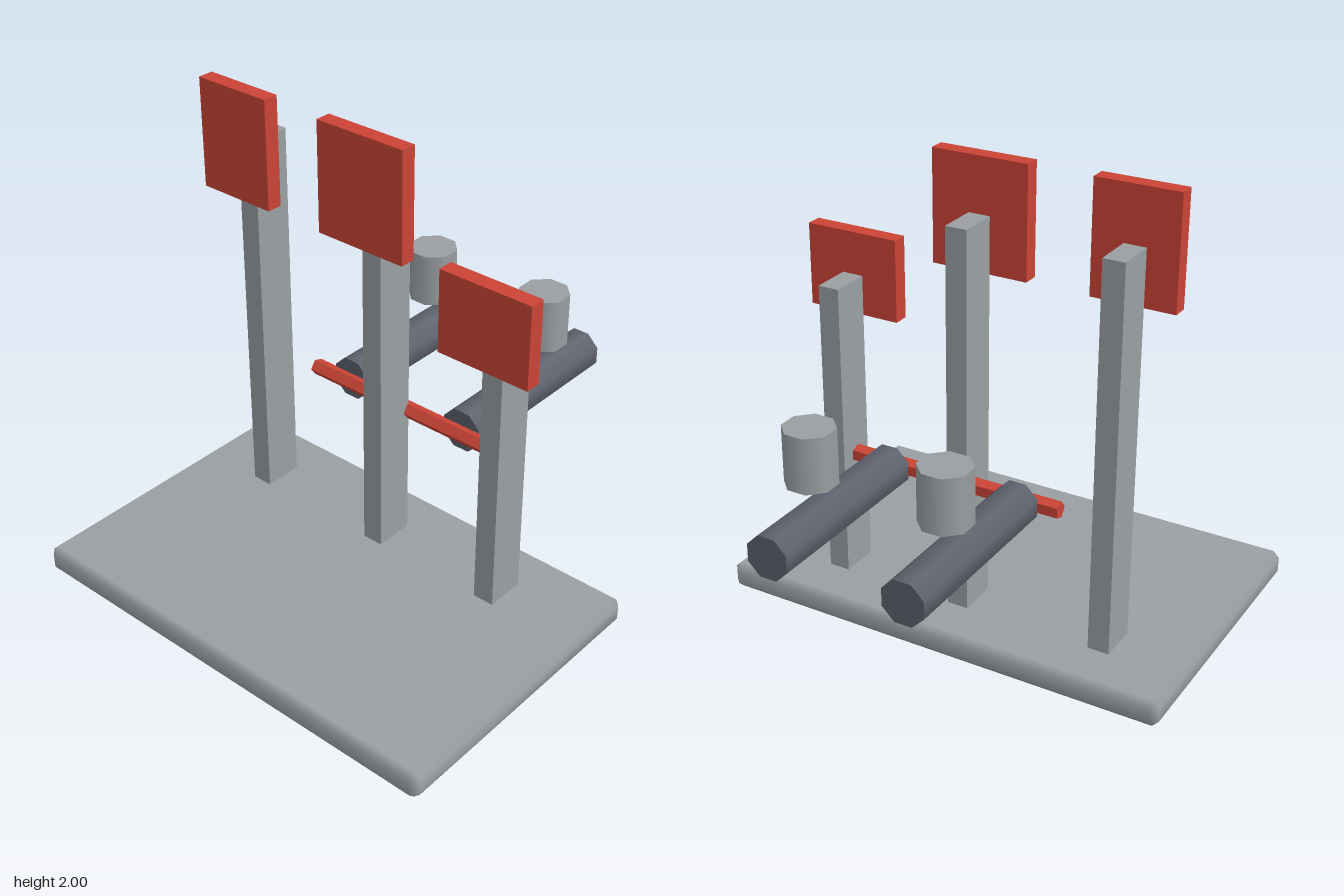
import * as THREE from 'three';
import { mergeVertices } from 'three/addons/utils/BufferGeometryUtils.js';
import { ConvexGeometry } from 'three/addons/geometries/ConvexGeometry.js';

const material = (name, color) => {
  const m = new THREE.MeshStandardMaterial({ color });
  m.name = name;
  return m;
};

// Box with chamfered edges and normals shared across the whole surface
function softBox(w, h, d, c) {
  const [x, y, z] = [w / 2, h / 2, d / 2];
  const points = [];
  for (const sx of [-1, 1]) for (const sy of [-1, 1]) for (const sz of [-1, 1]) {
    points.push(
      new THREE.Vector3(sx * x, sy * (y - c), sz * (z - c)),
      new THREE.Vector3(sx * (x - c), sy * y, sz * (z - c)),
      new THREE.Vector3(sx * (x - c), sy * (y - c), sz * z));
  }
  const geo = new ConvexGeometry(points);
  geo.deleteAttribute('normal');
  const merged = mergeVertices(geo, 1e-4);
  merged.computeVertexNormals();
  return merged;
}

// Octagonal cylinder with flats facing the main axes
function octagon(apothem, length) {
  const geo = new THREE.CylinderGeometry(1, 1, length, 8);
  const r = apothem / Math.cos(Math.PI / 8);
  return geo.rotateY(Math.PI / 8).scale(r, 1, r);
}

export function createModel() {
  const group = new THREE.Group();
  const grey = material('grey metal', 0x9a9fa2);
  const red = material('red paint', 0xcb4436);
  const dark = material('dark slate', 0x5d606c);

  const add = (name, geo, mat, x, y, z) => {
    const mesh = new THREE.Mesh(geo, mat);
    mesh.name = name;
    mesh.position.set(x, y, z);
    group.add(mesh);
    return mesh;
  };

  // Base plate
  add('base', softBox(2, 0.12, 1.3, 0.027), grey, 0, 0.06, 0.323);

  // Three posts, each with a square panel on its front
  const signs = [
    { side: 'right', x: -0.65, top: 1.77, panelX: -0.65, w: 0.35, y0: 1.535, y1: 2 },
    { side: 'middle', x: -0.003, top: 1.77, panelX: -0.003, w: 0.412, y0: 1.535, y1: 2 },
    { side: 'left', x: 0.585, top: 1.41, panelX: 0.585, w: 0.412, y0: 1.24, y1: 1.59 },
  ];
  for (const s of signs) {
    const bottom = 0.004;
    add(s.side + 'Post', new THREE.BoxGeometry(0.092, s.top - bottom, 0.172), grey,
      s.x, (s.top + bottom) / 2, -0.033);
    add(s.side + 'Panel', new THREE.BoxGeometry(s.w, s.y1 - s.y0, 0.067), red,
      s.panelX, (s.y0 + s.y1) / 2, 0.0865);
  }

  // Five-sided cross bar, with one edge pointing forward
  const barGeo = new THREE.CylinderGeometry(0.036, 0.036, 0.94, 5).rotateZ(Math.PI / 2).toNonIndexed();
  barGeo.computeVertexNormals();
  add('crossBar', barGeo, red, 0, 0.71, -0.125);

  // Long horizontal barrels and the canisters floating above them
  for (const [side, x] of [['right', -0.295], ['left', 0.292]]) {
    add(side + 'Barrel', octagon(0.088, 0.825).rotateX(Math.PI / 2), dark, x, 0.708, -0.5625);
    add(side + 'Canister', octagon(0.098, 0.232), grey, x, 1.004, -0.681);
  }

  return group;
}
